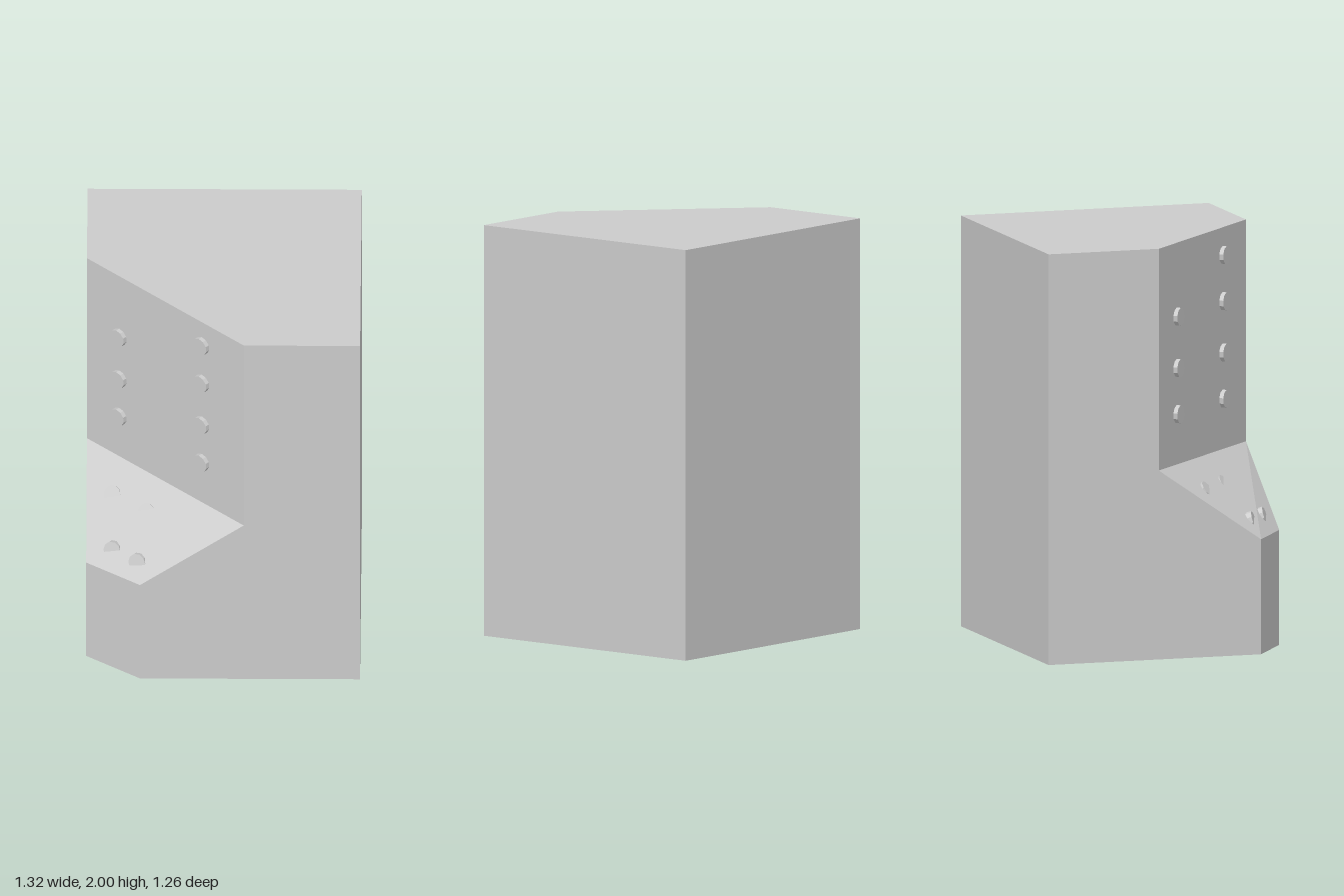
import * as THREE from 'three';

const shellMat = new THREE.MeshStandardMaterial({ color: 0xcccccc, flatShading: true, side: THREE.DoubleSide });
const W = 0.66, D = 0.63, H = 2, LEDGE_TOP = 0.92, LEDGE_LOW = 0.56;

// flat panel from a fan of corners, listed counter-clockwise from outside
function panel(name, corners) {
  const pos = [];
  for (let i = 1; i < corners.length - 1; i++) pos.push(...corners[0], ...corners[i], ...corners[i + 1]);
  const geo = new THREE.BufferGeometry();
  geo.setAttribute('position', new THREE.Float32BufferAttribute(pos, 3));
  geo.computeVertexNormals();
  const mesh = new THREE.Mesh(geo, shellMat);
  mesh.name = name;
  return mesh;
}

// short disc-shaped button whose axis points along the given direction
const buttonGeo = new THREE.CylinderGeometry(0.045, 0.045, 0.03, 10);
function button(name, center, axis) {
  const mesh = new THREE.Mesh(buttonGeo, shellMat);
  mesh.name = name;
  mesh.position.set(...center);
  const a = new THREE.Vector3(...axis).normalize();
  mesh.quaternion.setFromUnitVectors(new THREE.Vector3(0, 1, 0), a);
  return mesh;
}

export function createModel() {
  const model = new THREE.Group();
  model.name = 'cabinet';

  // plan corners of the cut-away front corner
  const P = y => [-W, y, -0.07], Q = y => [0.1, y, D];
  const R = y => [-0.4, y, D], S = y => [-W, y, 0.45];

  // shell, open underneath
  const shell = new THREE.Group();
  shell.name = 'shell';
  shell.add(
    panel('top', [[-W, H, -D], P(H), Q(H), [W, H, D], [W, H, -D]]),
    panel('back', [[W, 0, -D], [-W, 0, -D], [-W, H, -D], [W, H, -D]]),
    panel('leftSide', [[W, 0, D], [W, 0, -D], [W, H, -D], [W, H, D]]),
    panel('front', [[W, 0, D], [W, H, D], Q(H), Q(LEDGE_TOP), R(LEDGE_LOW), R(0)]),
    panel('rightSide', [[-W, 0, -D], S(0), S(LEDGE_LOW), P(LEDGE_TOP), P(H), [-W, H, -D]]),
    panel('lowerChamfer', [S(0), R(0), R(LEDGE_LOW), S(LEDGE_LOW)]),
    panel('screenWall', [P(LEDGE_TOP), Q(LEDGE_TOP), Q(H), P(H)]),
    panel('controlLedge', [S(LEDGE_LOW), R(LEDGE_LOW), Q(LEDGE_TOP), P(LEDGE_TOP)])
  );
  model.add(shell);

  // two columns of buttons on the upright wall
  const buttons = new THREE.Group();
  buttons.name = 'buttons';
  const n = [-0.678, 0, 0.735];
  const columns = [[-0.5, [1.165, 1.39, 1.64]], [-0.1, [1.165, 1.39, 1.64, 1.865]]];
  for (const [x, rows] of columns) {
    const z = -0.07 + (x + W) * 0.7 / 0.76;
    for (const y of rows) buttons.add(button('wallButton', [x + n[0] * 0.006, y, z + n[2] * 0.006], n));
  }

  // half-sunken buttons on the sloping ledge
  const upper = [-0.46, 0.6, 0.65], lower = [-0.42, 0.3, 0.85];
  buttons.add(
    button('upperLedgeButton', [-0.53, 0.79, 0.212], upper),
    button('upperLedgeButton', [-0.365, 0.79, 0.355], upper),
    button('upperLedgeButton', [-0.23, 0.765, 0.5], upper),
    button('lowerLedgeButton', [-0.53, 0.632, 0.443], lower),
    button('lowerLedgeButton', [-0.41, 0.632, 0.54], lower)
  );
  model.add(buttons);
  return model;
}
